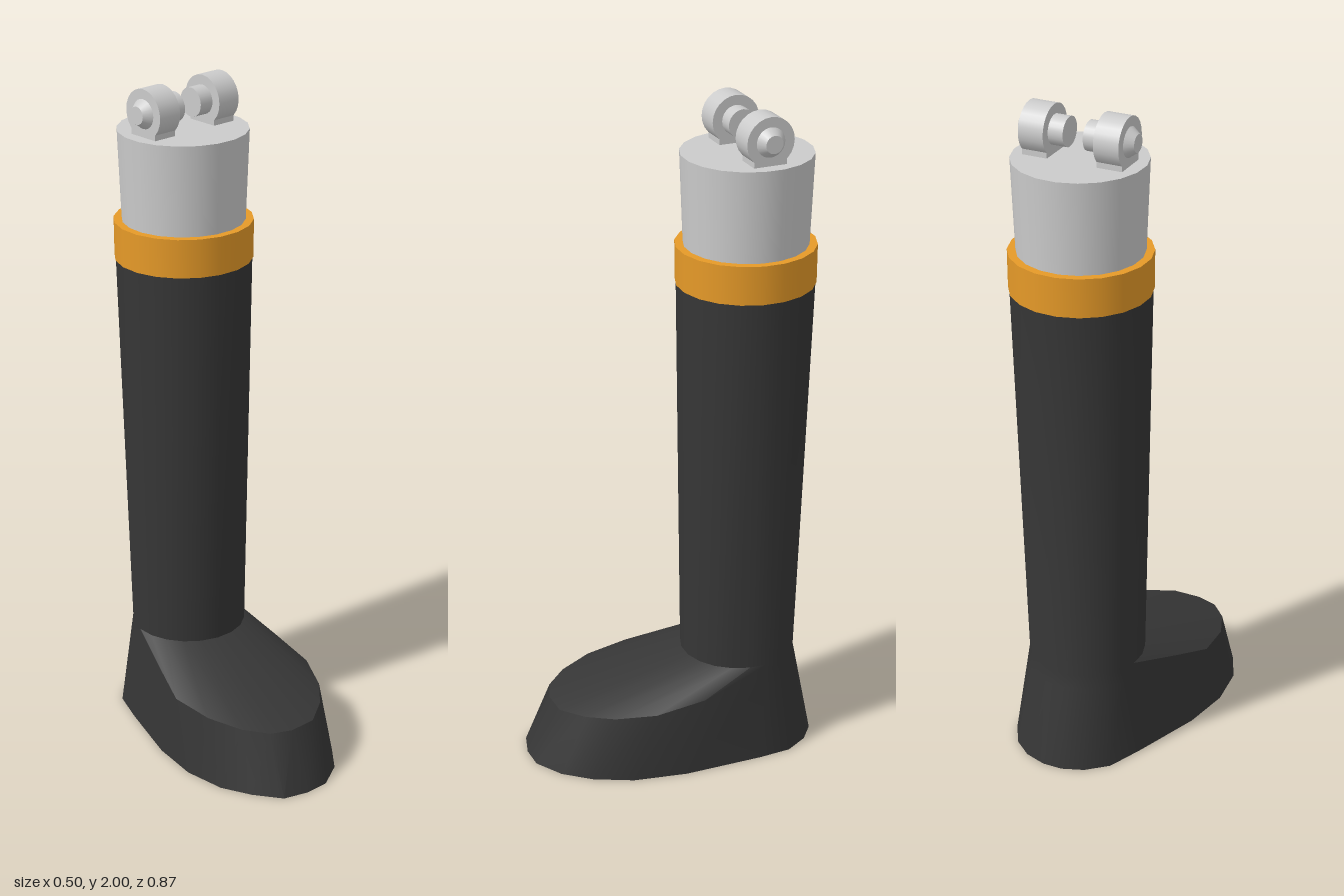
import * as THREE from 'three';
import { toCreasedNormals } from 'three/addons/utils/BufferGeometryUtils.js';

const SIDES = 20;
const TURN = THREE.MathUtils.degToRad(7);
const CX = 0.045, CZ = -0.224;

const grey = new THREE.MeshStandardMaterial({ color: 0xcccccc });
const black = new THREE.MeshStandardMaterial({ color: 0x363636 });
const orange = new THREE.MeshStandardMaterial({ color: 0xe69a28 });

function add(parent, name, geometry, material) {
  const mesh = new THREE.Mesh(geometry, material);
  mesh.name = name;
  parent.add(mesh);
  return mesh;
}

// Horizontal circle of points, starting at the front and turning towards +x
function circle(x, y, z, r) {
  return Array.from({ length: SIDES }, (_, i) => {
    const t = TURN + (i / SIDES) * Math.PI * 2;
    return [x + r * Math.sin(t), y, z + r * Math.cos(t)];
  });
}

// Skin stacked rings, from the bottom up, and close both ends
function loft(rings) {
  const n = SIDES, positions = rings.flat(2), index = [];
  for (let k = 0; k < rings.length - 1; k++) {
    for (let i = 0; i < n; i++) {
      const j = (i + 1) % n;
      const a = k * n + i, b = k * n + j;
      index.push(a, b, b + n, a, b + n, a + n);
    }
  }
  const top = (rings.length - 1) * n;
  for (let i = 1; i < n - 1; i++) {
    index.push(0, i + 1, i, top, top + i, top + i + 1);
  }
  const g = new THREE.BufferGeometry();
  g.setAttribute('position', new THREE.Float32BufferAttribute(positions, 3));
  g.setIndex(index);
  return toCreasedNormals(g, 0.6);
}

// Boot: sole outline, instep edge, ankle and top of the shaft
function bootGeometry() {
  const sole = [
    [0.005, 0.433], [0.09, 0.385], [0.155, 0.31], [0.21, 0.2], [0.24, 0.04],
    [0.245, -0.2], [0.24, -0.3], [0.2, -0.37], [0.145, -0.415], [0.08, -0.437],
    [0.02, -0.437], [-0.045, -0.413], [-0.105, -0.36], [-0.15, -0.25], [-0.225, -0.04],
    [-0.252, 0.11], [-0.24, 0.24], [-0.2, 0.33], [-0.145, 0.41], [-0.07, 0.433],
  ].map(([x, z]) => [x, 0, z]);
  const ankle = circle(0.043, 0.3, -0.211, 0.172);
  const instep = {
    0: [0.02, 0.178, 0.36], 1: [0.1, 0.186, 0.31], 2: [0.165, 0.196, 0.24],
    3: [0.22, 0.212, 0.13], 4: [0.235, 0.237, -0.02], 14: [-0.19, 0.25, -0.08],
    15: [-0.235, 0.215, 0.04], 16: [-0.225, 0.2, 0.17], 17: [-0.185, 0.188, 0.27],
    18: [-0.13, 0.18, 0.335], 19: [-0.065, 0.177, 0.36],
  };
  // Around the heel the wall runs straight from ankle to sole
  const edge = ankle.map((p, i) =>
    instep[i] ?? p.map((v, c) => THREE.MathUtils.lerp(v, sole[i][c], 0.15)));
  return loft([sole, edge, ankle, circle(CX, 1.48, CZ, 0.2)]);
}

function drum(rTop, rBottom, y0, y1) {
  return new THREE.CylinderGeometry(rTop, rBottom, y1 - y0, SIDES)
    .rotateY(TURN).translate(CX, (y0 + y1) / 2, CZ);
}

// Cylinder along x between two distances from the joint's middle
function axle(x0, r0, x1, r1) {
  return new THREE.CylinderGeometry(r1, r0, x1 - x0, 24)
    .rotateZ(-Math.PI / 2).translate((x0 + x1) / 2, 0, 0);
}

// One half of the hinge, pointing outwards along +x
function hinge(name) {
  const g = new THREE.Group();
  g.name = name;
  add(g, 'hingePin', axle(0.03, 0.043, 0.076, 0.043), grey);
  add(g, 'hingeEye', axle(0.075, 0.072, 0.15, 0.072), grey);
  add(g, 'hingeCap', axle(0.149, 0.044, 0.174, 0.026), grey);
  add(g, 'hingeFoot', new THREE.BoxGeometry(0.075, 0.075, 0.1).translate(0.1125, -0.0375, 0), grey);
  g.position.set(CX, 1.928, CZ);
  return g;
}

export function createModel() {
  const model = new THREE.Group();
  model.name = 'lowerLeg';

  add(model, 'boot', bootGeometry(), black);
  add(model, 'cuff', drum(0.204, 0.203, 1.475, 1.59), orange);
  add(model, 'kneeStump', drum(0.191, 0.18, 1.58, 1.86), grey);

  // Knee joint, two halves facing each other
  const left = hinge('leftHinge');
  const right = hinge('rightHinge');
  right.rotation.y = Math.PI;
  model.add(left, right);

  return model;
}
